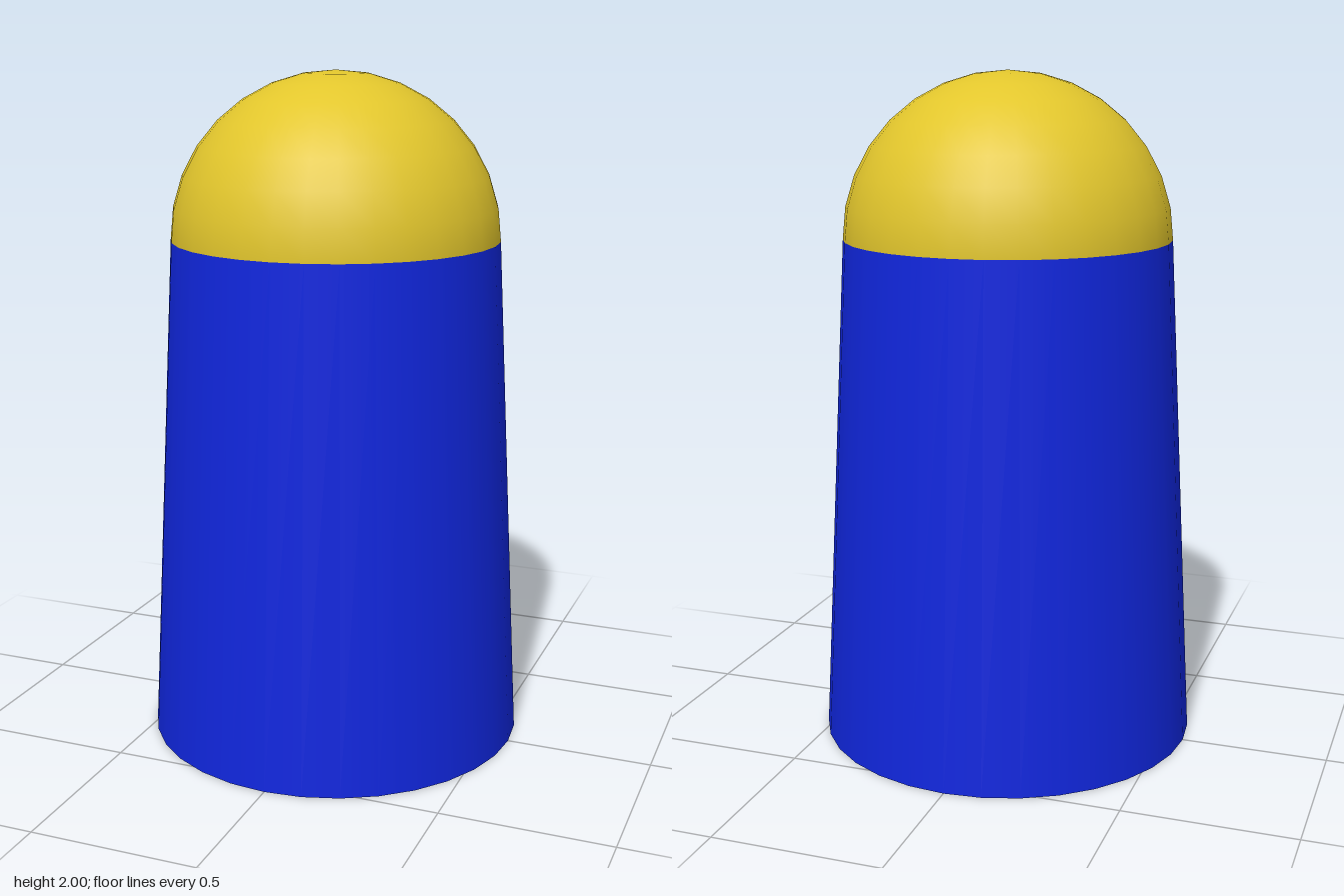
import * as THREE from 'three';

const SIDES = 32;
const BODY_HEIGHT = 1.515;
const TOP_RADIUS = 0.485;
const BASE_RADIUS = 0.565;

function addPart(group, name, geometry, color, y) {
  const mesh = new THREE.Mesh(geometry, new THREE.MeshStandardMaterial({ color }));
  mesh.name = name;
  mesh.position.y = y;
  group.add(mesh);
}

export function createModel() {
  const group = new THREE.Group();
  group.name = 'domedPeg';

  // Tapered body, closed at both ends
  addPart(group, 'body',
    new THREE.CylinderGeometry(TOP_RADIUS, BASE_RADIUS, BODY_HEIGHT, SIDES),
    0x1026dc, BODY_HEIGHT / 2);

  // Half-sphere head resting on the body
  addPart(group, 'head',
    new THREE.SphereGeometry(TOP_RADIUS, SIDES, 8, 0, Math.PI * 2, 0, Math.PI / 2),
    0xe2c62c, BODY_HEIGHT);

  return group;
}
